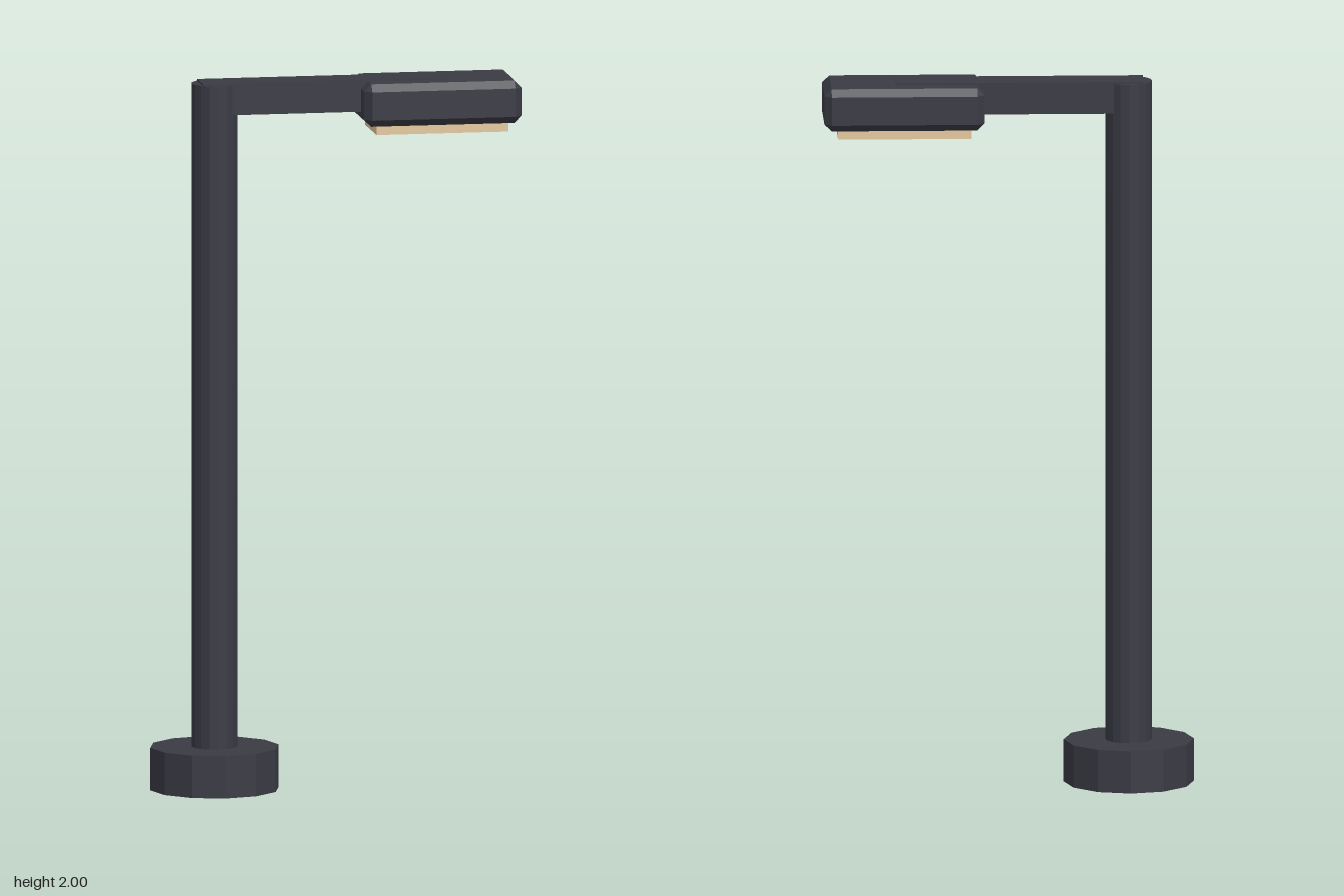
import * as THREE from 'three';
import { ConvexGeometry } from 'three/addons/geometries/ConvexGeometry.js';

// Box with every edge and corner cut at 45 degrees
function chamferedBox(w, h, d, c) {
  const half = [w / 2, h / 2, d / 2];
  const points = [];
  for (const sx of [-1, 1]) for (const sy of [-1, 1]) for (const sz of [-1, 1]) {
    const s = [sx, sy, sz];
    for (let axis = 0; axis < 3; axis++) {
      const p = half.map((v, i) => s[i] * (i === axis ? v : v - c));
      points.push(new THREE.Vector3(...p));
    }
  }
  return new ConvexGeometry(points);
}

export function createModel() {
  const group = new THREE.Group();
  const metal = new THREE.MeshStandardMaterial({ color: 0x3a3a44, flatShading: true });
  metal.name = 'dark metal';
  const glow = new THREE.MeshStandardMaterial({ color: 0xe6caa0, flatShading: true });
  glow.name = 'warm lens';

  const add = (name, geometry, material, x, y, z = 0) => {
    const mesh = new THREE.Mesh(geometry, material);
    mesh.name = name;
    mesh.position.set(x, y, z);
    group.add(mesh);
  };

  const poleX = -0.337;
  // Foot and post
  add('base', new THREE.CylinderGeometry(0.182, 0.182, 0.12, 12), metal, poleX, 0.06);
  add('pole', new THREE.CylinderGeometry(0.065, 0.065, 1.875, 16), metal, poleX, 0.12 + 1.875 / 2);
  // Horizontal arm, sunk into the pole top and the lamp head
  add('arm', new THREE.BoxGeometry(0.692, 0.09, 0.096), metal, -0.032, 1.955);
  // Lamp head with the light panel beneath
  add('lampHead', chamferedBox(0.447, 0.12, 0.24, 0.02), metal, 0.2935, 1.935);
  add('lens', new THREE.BoxGeometry(0.372, 0.035, 0.186), glow, 0.2925, 1.8675);

  return group;
}
